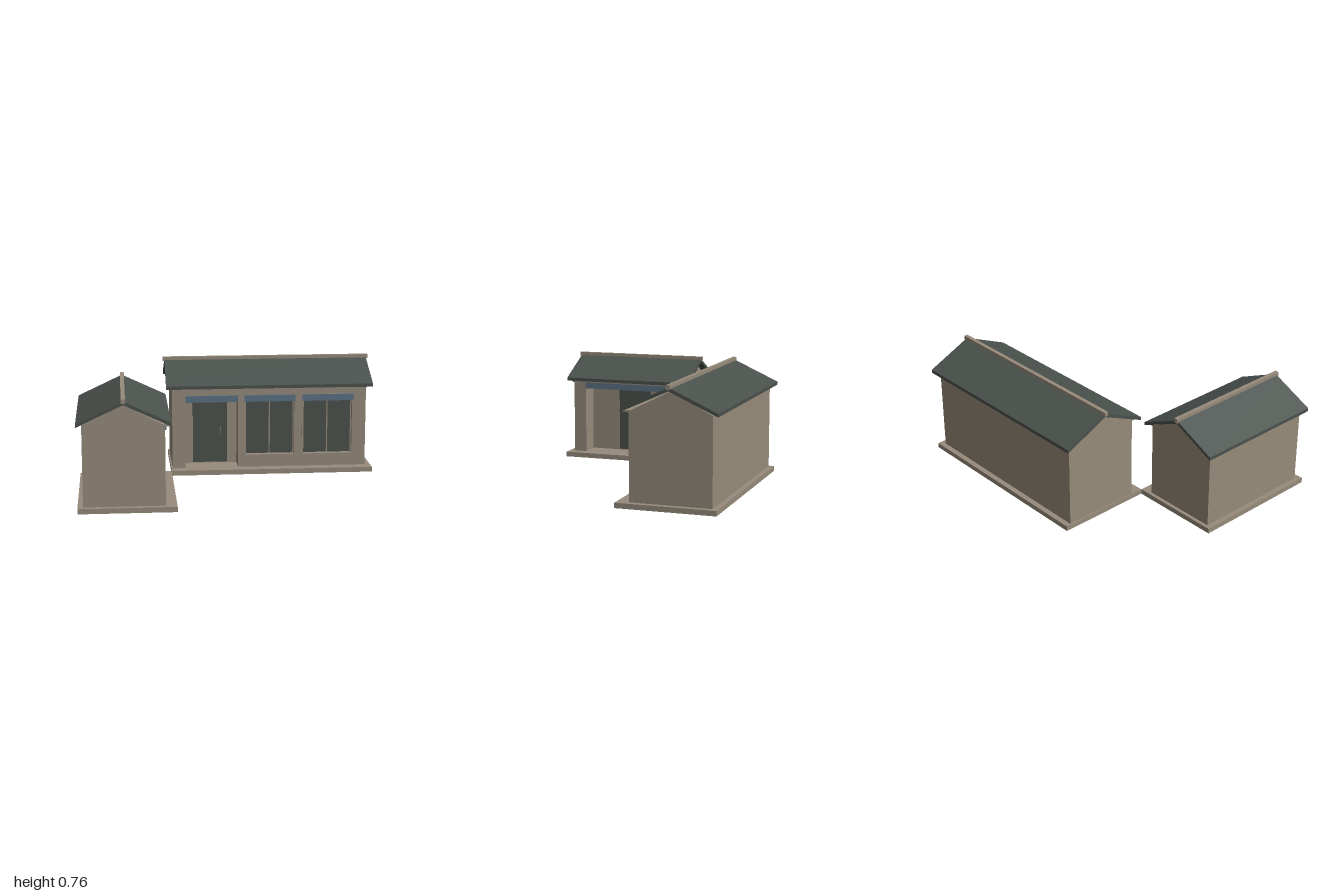
import * as THREE from 'three';

const mat = (name, color) => {
  const m = new THREE.MeshStandardMaterial({ color });
  m.name = name;
  return m;
};

const BASE = 0.033;        // plinth height
const RECESS = 0.14;       // porch depth
const LINTEL = [0.487, 0.531];

export function createModel() {
  const plaster = mat('plaster', 0x968b7b);
  const slate = mat('slate', 0x4a514d);
  const blue = mat('blueLintel', 0x5a7283);

  const add = (parent, name, geo, material) => {
    const mesh = new THREE.Mesh(geo, material);
    mesh.name = name;
    parent.add(mesh);
    return mesh;
  };

  // box given by its min and max on each axis
  const block = (parent, name, [x0, x1], [y0, y1], [z0, z1], material) => {
    const mesh = add(parent, name, new THREE.BoxGeometry(x1 - x0, y1 - y0, z1 - z0), material);
    mesh.position.set((x0 + x1) / 2, (y0 + y1) / 2, (z0 + z1) / 2);
    return mesh;
  };

  const rect = (C, [x0, x1], [y0, y1]) =>
    new C([[x0, y0], [x1, y0], [x1, y1], [x0, y1]].map(p => new THREE.Vector2(...p)));

  const polygon = pts => new THREE.Shape(pts.map(p => new THREE.Vector2(...p)));
  const extrude = (shape, depth) => new THREE.ExtrudeGeometry(shape, { depth, bevelEnabled: false });

  // z-y profile swept along x
  const sweepX = (pts, half) => {
    const geo = extrude(polygon(pts), half * 2);
    geo.translate(0, 0, -half);
    geo.rotateY(-Math.PI / 2);
    return geo;
  };

  // gabled house, length along x, entrance towards +z
  function house(name, o) {
    const g = new THREE.Group();
    g.name = name;
    const { half: L, depth: D, wallTop: H } = o;
    const front = D - RECESS;

    block(g, 'plinth', o.plinthX, [0, BASE], o.plinthZ, plaster);
    block(g, 'mainWalls', [-L, L], [BASE, H], [-D, front], plaster);

    // front wall with a porch notch and window holes
    const [p0, p1] = o.porch;
    const wall = polygon([[-L, BASE], [p0, BASE], [p0, LINTEL[1]], [p1, LINTEL[1]],
      [p1, BASE], [L, BASE], [L, H], [-L, H]]);
    for (const w of o.windows) wall.holes.push(rect(THREE.Path, [w[0] + 0.012, w[1] - 0.012], [0.119, 0.52]));
    add(g, 'frontWall', extrude(wall, RECESS), plaster).position.z = front;

    // gable prism filling the roof space
    add(g, 'gable', sweepX([[-D, H], [D, H], [0, o.gableTop]], L), plaster);

    // two roof slopes, ridge cap and front eave board
    const t = 0.022, e = o.eaveY, R = o.roofDepth;
    for (const s of [-1, 1]) {
      const pts = [[0, o.roofTop - t], [s * R, e], [s * R, e + t], [0, o.roofTop]];
      add(g, s > 0 ? 'frontRoof' : 'backRoof', sweepX(s > 0 ? pts : pts.reverse(), o.roofHalf), slate);
    }
    block(g, 'ridgeCap', [-o.roofHalf - 0.011, o.roofHalf + 0.011],
      [o.roofTop - 0.012, o.roofTop + 0.016], [-0.013, 0.013], plaster);
    block(g, 'eaveBoard', [-L, L], [H - 0.006, H + 0.007], [D - 0.005, R - 0.006], plaster);

    // porch lintel, door and handle
    block(g, 'porchLintel', [p0 + 0.003, p1 - 0.003], LINTEL, [D - 0.012, D + 0.012], blue);
    block(g, 'door', o.door, [BASE + 0.007, 0.495], [front, front + 0.009], slate);
    block(g, 'doorHandle', [o.handle - 0.003, o.handle + 0.003], [0.233, 0.292],
      [front + 0.009, front + 0.019], plaster);

    // windows: trim, glass, sash bars and lintel
    for (const [a, b] of o.windows) {
      const win = new THREE.Group();
      win.name = 'window';
      g.add(win);
      const trim = rect(THREE.Shape, [a, b], [0.106, 0.531]);
      trim.holes.push(rect(THREE.Path, [a + 0.012, b - 0.012], [0.119, 0.52]));
      add(win, 'windowTrim', extrude(trim, 0.008), plaster).position.z = D - 0.002;
      block(win, 'glass', [a + 0.012, b - 0.012], [0.119, 0.52], [D - 0.042, D - 0.034], slate);
      const mid = (a + b) / 2;
      for (const x of [a + 0.015, mid, b - 0.015]) {
        block(win, 'sashBar', [x - 0.004, x + 0.004], [0.119, 0.5], [D - 0.034, D - 0.024], plaster);
      }
      block(win, 'windowLintel', [a + 0.005, b - 0.005], LINTEL, [D - 0.012, D + 0.012], blue);
    }
    return g;
  }

  const model = new THREE.Group();
  model.name = 'courtyardHouses';

  // long house at the back
  const main = house('mainHouse', {
    half: 0.66, depth: 0.26, wallTop: 0.583, gableTop: 0.716,
    roofHalf: 0.7, roofDepth: 0.301, eaveY: 0.583, roofTop: 0.742,
    plinthX: [-0.669, 0.698], plinthZ: [-0.296, 0.34],
    porch: [-0.573, -0.213], door: [-0.513, -0.279], handle: -0.325,
    windows: [[-0.176, 0.181], [0.219, 0.577]],
  });
  main.position.set(0.284, 0, -0.465);

  // short wing turned to face the courtyard
  const wing = house('sideWing', {
    half: 0.41, depth: 0.253, wallTop: 0.537, gableTop: 0.668,
    roofHalf: 0.45, roofDepth: 0.288, eaveY: 0.539, roofTop: 0.696,
    plinthX: [-0.446, 0.434], plinthZ: [-0.287, 0.324],
    porch: [-0.323, 0.324], door: [-0.117, 0.114], handle: 0.07,
    windows: [],
  });
  wing.position.set(-0.71, 0, 0.309);
  wing.rotation.y = Math.PI / 2;

  model.add(main, wing);
  return model;
}
